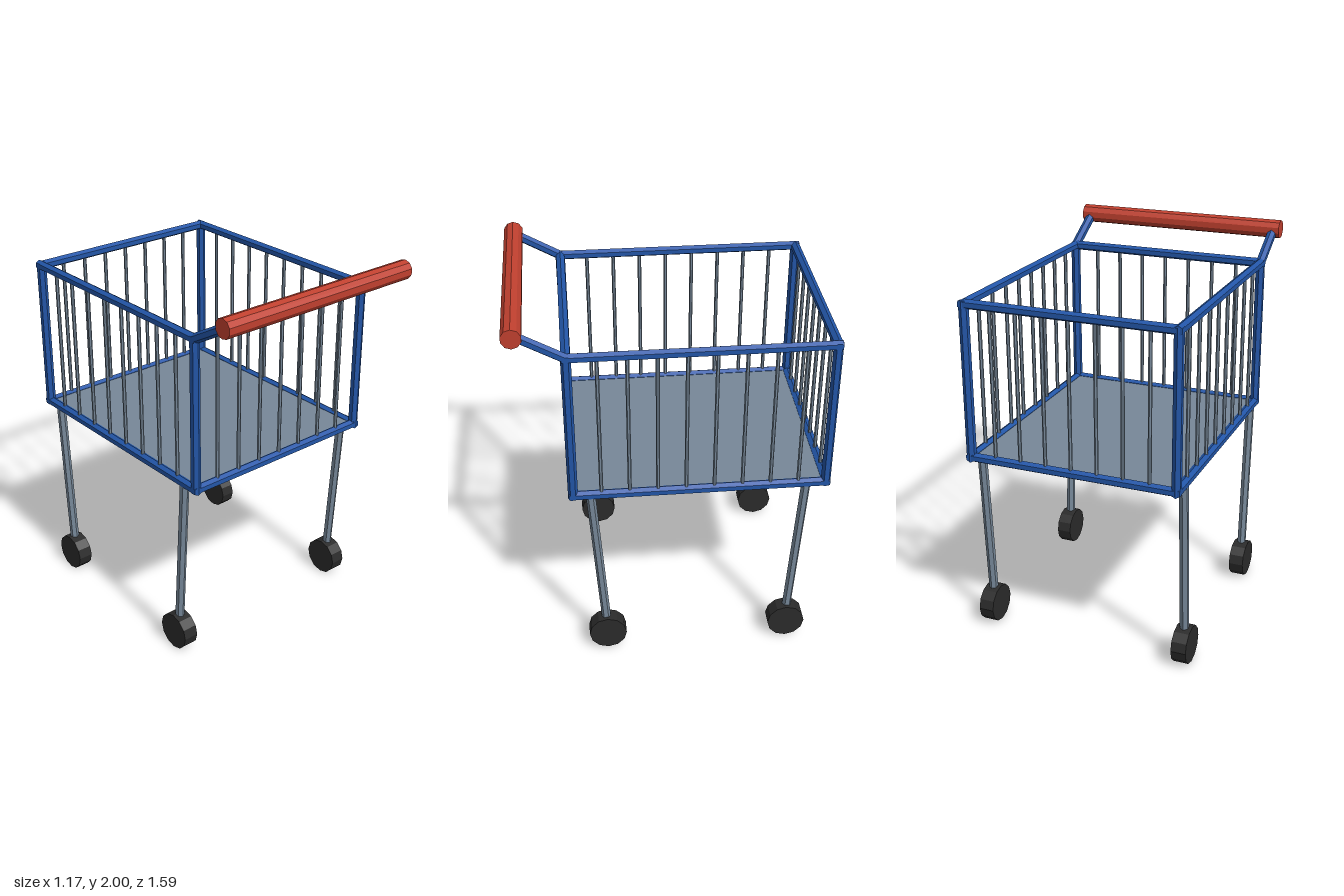
import * as THREE from 'three';

const mat = (name, color) => {
  const m = new THREE.MeshStandardMaterial({ color, flatShading: true });
  m.name = name;
  return m;
};

export function createModel() {
  const blue = mat('frameBlue', 0x2356a8);
  const steel = mat('steelGrey', 0x778899);
  const red = mat('handleRed', 0xc0402f);
  const black = mat('wheelBlack', 0x2b2b2b);

  const cart = new THREE.Group();
  cart.name = 'cart';

  // Straight prism between two points; roll turns it about its own axis
  const up = new THREE.Vector3(0, 1, 0);
  function rod(name, a, b, radius, sides, material, roll = 0) {
    const p = new THREE.Vector3(...a), q = new THREE.Vector3(...b);
    const dir = q.clone().sub(p);
    const geo = new THREE.CylinderGeometry(radius, radius, dir.length(), sides);
    geo.rotateY(roll);
    const mesh = new THREE.Mesh(geo, material);
    mesh.name = name;
    mesh.position.copy(p).add(q).multiplyScalar(0.5);
    mesh.quaternion.setFromUnitVectors(up, dir.normalize());
    cart.add(mesh);
  }

  const X = 0.545, ZF = 0.51, ZB = -0.77, Y0 = 1.02, Y1 = 1.815, R = 0.025;

  // Basket frame: rails around the bottom and top
  for (const y of [Y0, Y1]) {
    for (const z of [ZF, ZB]) rod('crossRail', [-X, y, z], [X, y, z], R, 6, blue, Math.PI / 6);
    for (const x of [-X, X]) rod('sideRail', [x, y, ZB - 0.02], [x, y, ZF + 0.02], R, 6, blue);
  }

  // Corner posts
  for (const x of [-X, X])
    for (const z of [ZF, ZB]) rod('cornerPost', [x, Y0 - 0.015, z], [x, Y1 + 0.015, z], R, 6, blue);

  // Thin upright bars: seven across each end, eight along each side
  for (let i = 1; i < 8; i++) {
    const x = -X + (2 * X * i) / 8;
    for (const z of [ZF, ZB]) rod('endBar', [x, Y0, z], [x, Y1, z], 0.01, 6, steel);
  }
  for (let i = 1; i < 9; i++) {
    const z = ZB + ((ZF - ZB) * i) / 9;
    for (const x of [-X, X]) rod('sideBar', [x, Y0, z], [x, Y1, z], 0.01, 6, steel);
  }

  // Basket floor
  const floor = new THREE.Mesh(new THREE.BoxGeometry(2 * X, 0.02, ZF - ZB), steel);
  floor.name = 'basketFloor';
  floor.position.set(0, Y0, (ZF + ZB) / 2);
  cart.add(floor);

  for (const x of [-X, X]) {
    // Slanted legs, each ending in a wheel
    for (const [top, foot] of [[0.423, 0.361], [-0.67, -0.613]]) {
      rod('leg', [x, Y0, top], [x, 0.1, foot], 0.024, 6, steel);
      rod('wheel', [x - 0.04, 0.1, foot], [x + 0.04, 0.1, foot], 0.1, 12, black);
    }
    // Arm reaching out to the push handle
    rod('handleArm', [x, Y1, ZF], [x, 1.95, 0.75], R, 6, blue);
  }

  // Push handle
  rod('pushHandle', [-0.585, 1.95, 0.75], [0.585, 1.95, 0.75], 0.05, 10, red, Math.PI / 2);

  return cart;
}
